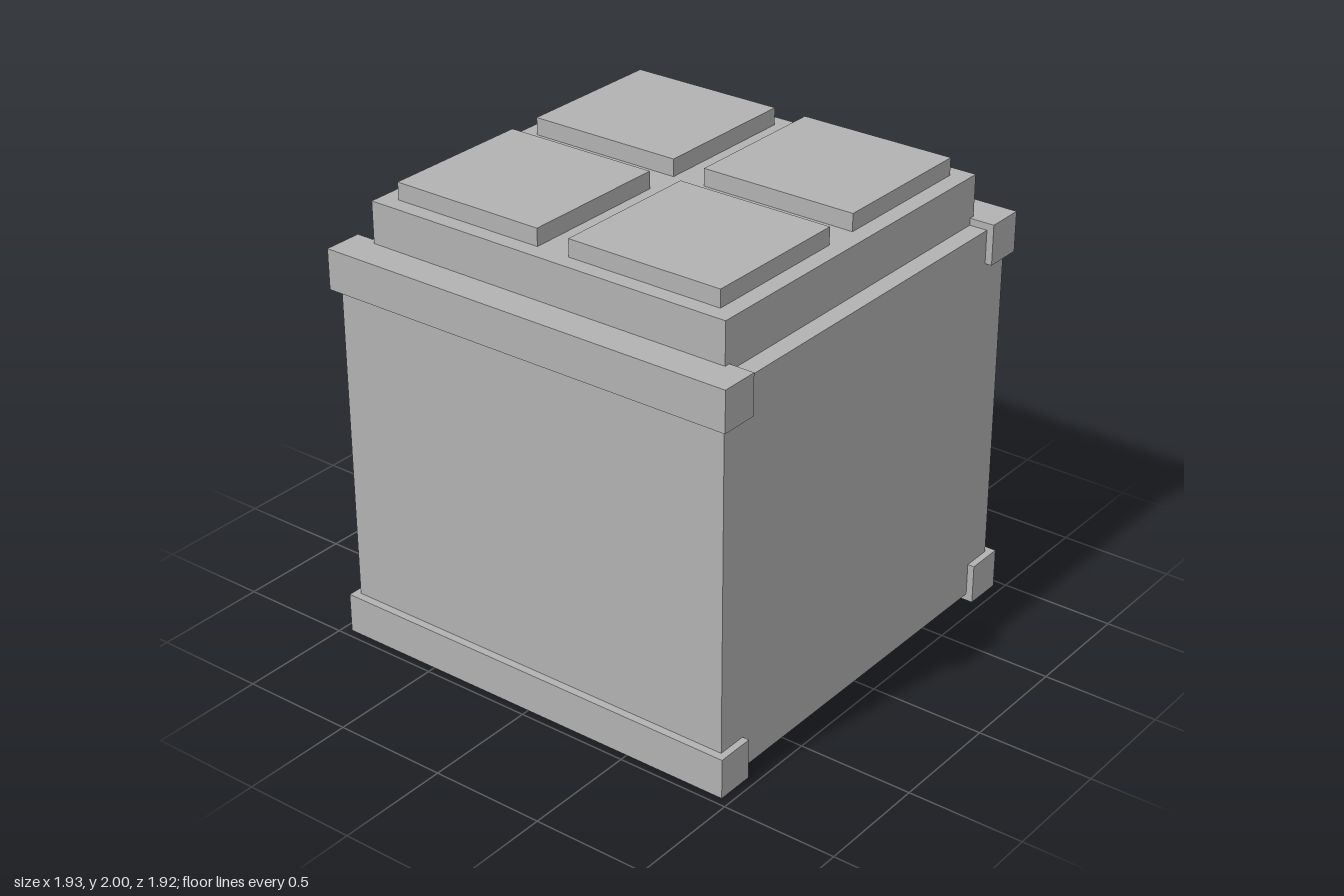
import * as THREE from 'three';

export function createModel() {
  const model = new THREE.Group();
  const grey = new THREE.MeshStandardMaterial({ color: 0xb2b2b2 });
  grey.name = 'grey';

  const add = (name, geometry) => {
    const mesh = new THREE.Mesh(geometry, grey);
    mesh.name = name;
    model.add(mesh);
  };
  // Box given by its lower and upper limits on each axis
  const box = (name, [x0, x1], [y0, y1], [z0, z1]) =>
    add(name, new THREE.BoxGeometry(x1 - x0, y1 - y0, z1 - z0)
      .translate((x0 + x1) / 2, (y0 + y1) / 2, (z0 + z1) / 2));

  const half = 0.93, bottom = 0.03, top = 1.715;
  const holeRadius = 0.37, holeDepth = 0.3, holeY = 0.87;

  // Body; its rear face is the floor of the recess
  box('body', [-half, half], [bottom, top], [-half + holeDepth, half]);

  // Back wall pierced by an octagonal recess
  const wall = new THREE.Shape([
    new THREE.Vector2(-half, bottom), new THREE.Vector2(half, bottom),
    new THREE.Vector2(half, top), new THREE.Vector2(-half, top),
  ]);
  const octagon = [];
  for (let i = 0; i < 8; i++) {
    const a = -i * Math.PI / 4;
    octagon.push(new THREE.Vector2(holeRadius * Math.cos(a), holeY + holeRadius * Math.sin(a)));
  }
  wall.holes.push(new THREE.Path(octagon));
  add('backWall', new THREE.ExtrudeGeometry(wall, { depth: holeDepth, bevelEnabled: false })
    .translate(0, 0, -half));

  // Raised lid
  box('lid', [-0.82, 0.82], [top, 1.925], [-0.85, 0.85]);

  // Corner rails running front to back
  for (const [x0, x1, side] of [[0.795, 0.965, 'left'], [-0.965, -0.795, 'right']]) {
    box(side + 'LowerRail', [x0, x1], [0, 0.175], [-0.96, 0.96]);
    box(side + 'UpperRail', [x0, x1], [1.57, 1.745], [-0.96, 0.96]);
  }

  // Four square pads on the lid
  for (const [x0, x1] of [[0.075, 0.75], [-0.75, -0.075]])
    for (const [z0, z1] of [[0.075, 0.775], [-0.775, -0.075]])
      box('topPad', [x0, x1], [1.925, 2], [z0, z1]);

  return model;
}
